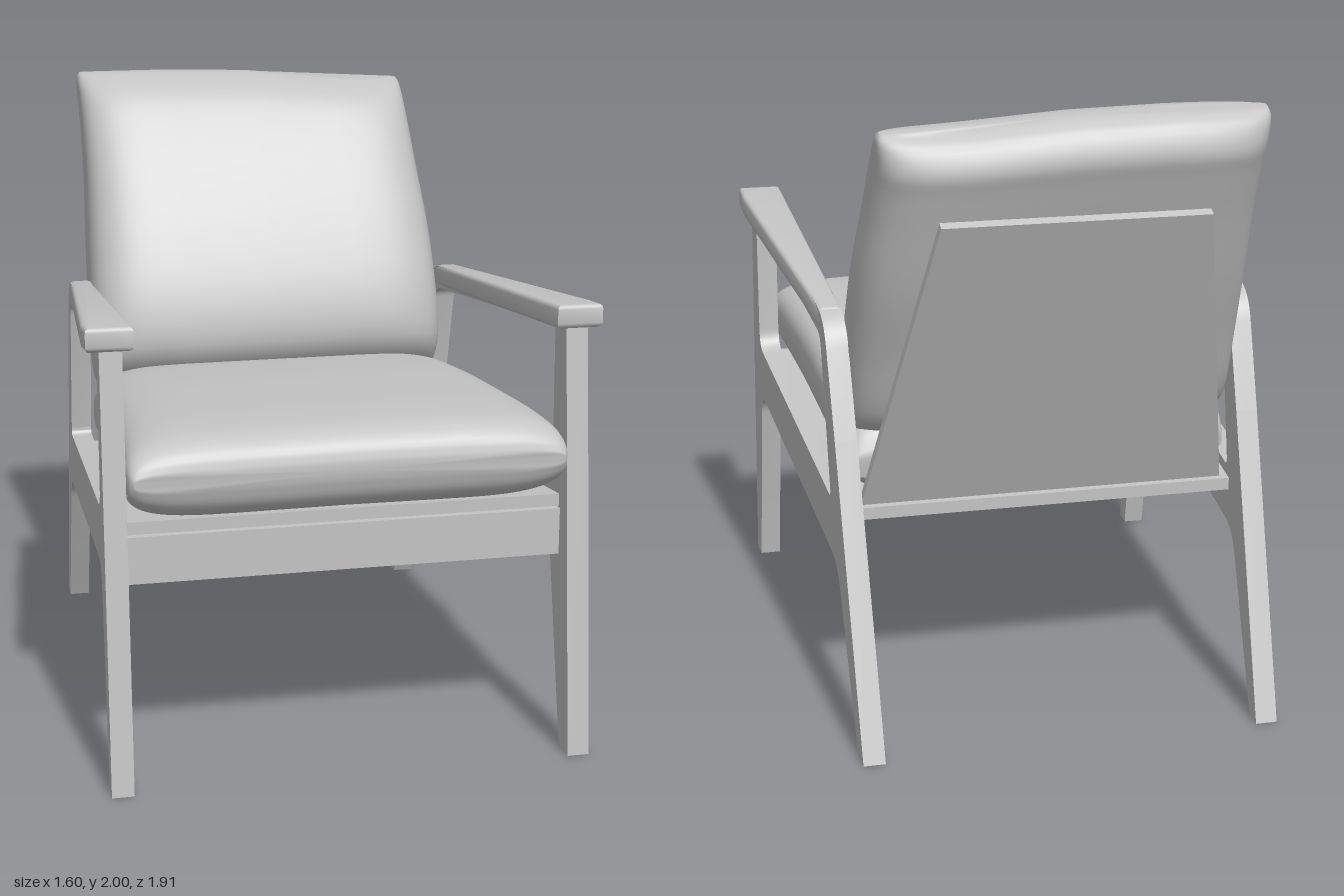
import * as THREE from 'three';
import { toCreasedNormals } from 'three/addons/utils/BufferGeometryUtils.js';

const grey = new THREE.MeshStandardMaterial({ color: 0xc4c4c4 });
grey.name = 'light grey';

function part(name, geometry) {
  const mesh = new THREE.Mesh(geometry, grey);
  mesh.name = name;
  return mesh;
}

// Move every vertex by a rule
function warp(geo, rule) {
  const p = geo.attributes.position;
  const v = new THREE.Vector3();
  for (let i = 0; i < p.count; i++) {
    rule(v.fromBufferAttribute(p, i));
    p.setXYZ(i, v.x, v.y, v.z);
  }
  geo.computeVertexNormals();
  return geo;
}

// Closed outline from [z, y, radius] points with rounded corners (drawn at -z)
function roundedOutline(path, pts) {
  const n = pts.length;
  const at = (i) => new THREE.Vector2(-pts[(i + n) % n][0], pts[(i + n) % n][1]);
  for (let i = 0; i < n; i++) {
    const c = at(i), r = pts[i][2] || 0;
    const a = c.clone().add(at(i - 1).sub(c).setLength(r));
    const b = c.clone().add(at(i + 1).sub(c).setLength(r));
    if (i === 0) path.moveTo(a.x, a.y); else path.lineTo(a.x, a.y);
    if (r) path.quadraticCurveTo(c.x, c.y, b.x, b.y);
  }
  path.closePath();
  return path;
}

const THICK = 0.07;
const innerX = (z) => 0.648 + 0.0485 * z; // frames splay apart toward the front

// Legs, lower rail and arm line in one cut-out board
function sideFrame(side) {
  const shape = roundedOutline(new THREE.Shape(), [
    [0.96, 0], [0.885, 0], [0.745, 0.685, 0.08], [-0.595, 0.543, 0.09], [-0.855, 0],
    [-0.93, 0], [-0.6, 0.95], [-0.465, 1.315, 0.1], [0.83, 1.43],
  ]);
  shape.holes.push(roundedOutline(new THREE.Path(), [
    [0.745, 1.36], [-0.405, 1.24, 0.04], [-0.515, 0.735, 0.03], [0.758, 0.865, 0.07],
  ]));
  const geo = new THREE.ExtrudeGeometry(shape, { depth: THICK, bevelEnabled: false, curveSegments: 8 });
  warp(geo, (v) => {
    const z = -v.x;
    const base = side > 0 ? innerX(z) : -innerX(z) - THICK;
    v.set(base + v.z, v.y, z);
  });
  return part('sideFrame', toCreasedNormals(geo, 0.6));
}

// Tapered arm pad that widens toward the front
function armrest(side) {
  const plan = [[0.655, 0.85], [0.8, 0.85], [0.8, 0.74], [0.698, -0.4], [0.627, -0.4]];
  const shape = new THREE.Shape(plan.map(([x, z]) => new THREE.Vector2(side * x, -z)));
  const geo = new THREE.ExtrudeGeometry(shape, {
    depth: 0.045, bevelThickness: 0.015, bevelSize: 0.015, bevelOffset: -0.015, bevelSegments: 3,
  });
  warp(geo, (v) => v.set(v.x, 1.303 + v.z + 0.098 * -v.y, -v.y));
  return part('armrest', toCreasedNormals(geo, 0.7));
}

// Pillow lofted from sections [faceZ, faceY, backZ, backY, halfWidth];
// smaller exponents make it boxier across the width and through the thickness
function cushion(name, sections, [widthExp, thickExp], rule) {
  const ROWS = 30, SIDES = 64;
  const face = new THREE.CatmullRomCurve3(sections.map((s) => new THREE.Vector3(s[4], s[1], s[0])));
  const back = new THREE.CatmullRomCurve3(sections.map((s) => new THREE.Vector3(s[4], s[3], s[2])));
  const power = (v, e) => Math.sign(v) * Math.abs(v) ** e;
  const pos = [], idx = [], ends = [];
  for (let i = 0; i <= ROWS; i++) {
    const f = face.getPoint(i / ROWS), b = back.getPoint(i / ROWS);
    const mid = f.clone().add(b).multiplyScalar(0.5), half = f.clone().sub(mid);
    if (i === 0 || i === ROWS) ends.push(0, mid.y, mid.z);
    for (let j = 0; j < SIDES; j++) {
      const a = (j / SIDES) * Math.PI * 2;
      const s = power(Math.sin(a), thickExp);
      pos.push(f.x * power(Math.cos(a), widthExp), mid.y + half.y * s, mid.z + half.z * s);
    }
  }
  const first = pos.length / 3, last = first + 1;
  pos.push(...ends);
  for (let j = 0; j < SIDES; j++) {
    const k = (j + 1) % SIDES;
    for (let i = 0; i < ROWS; i++) {
      const a = i * SIDES + j, c = i * SIDES + k;
      idx.push(a, a + SIDES, c, c, a + SIDES, c + SIDES);
    }
    idx.push(first, j, k, last, ROWS * SIDES + k, ROWS * SIDES + j);
  }
  const geo = new THREE.BufferGeometry();
  geo.setAttribute('position', new THREE.Float32BufferAttribute(pos, 3));
  geo.setIndex(idx);
  return part(name, warp(geo, rule));
}

export function createModel() {
  const chair = new THREE.Group();
  chair.name = 'armchair';

  for (const side of [1, -1]) chair.add(sideFrame(side), armrest(side));

  // Front rail between the legs
  const apron = part('frontRail', new THREE.BoxGeometry(1.38, 0.15, 0.06));
  apron.position.set(0, 0.712, 0.8);
  chair.add(apron);

  // Sloping seat board, narrower at the back
  const board = warp(new THREE.BoxGeometry(2, 0.04, 1.36), (v) => {
    const z = v.z + 0.14;
    v.set(v.x * (innerX(z) + 0.005), v.y + 0.732 + 0.098 * z, z);
  });
  chair.add(part('seatBoard', board));

  // Leaning back panel, narrower at the top
  const panel = part('backPanel', warp(new THREE.BoxGeometry(2, 1.09, 0.03), (v) => {
    v.x *= v.y > 0 ? 0.413 : 0.6;
  }));
  panel.position.set(0, 1.19, -0.705);
  panel.rotation.x = -0.395;
  chair.add(panel);

  // Seat cushion, front to back, with a slight dip in the middle of the front
  chair.add(cushion('seatCushion', [
    [0.908, 1.0, 0.905, 0.95, 0.67],
    [0.89, 1.05, 0.88, 0.89, 0.685],
    [0.83, 1.092, 0.83, 0.845, 0.69],
    [0.7, 1.108, 0.7, 0.825, 0.682],
    [0.35, 1.1, 0.35, 0.79, 0.66],
    [0, 1.075, 0, 0.755, 0.645],
    [-0.3, 1.03, -0.3, 0.725, 0.63],
    [-0.45, 0.95, -0.44, 0.72, 0.62],
    [-0.495, 0.86, -0.485, 0.77, 0.61],
  ], [0.3, 0.58], (v) => { v.z -= 0.008 * Math.max(0, v.z) * Math.cos(v.x * 5); }));

  // Back cushion, bottom to top, resting on the panel, one upper corner slumped
  chair.add(cushion('backCushion', [
    [-0.37, 0.94, -0.47, 0.93, 0.6],
    [-0.29, 1.0, -0.54, 0.945, 0.615],
    [-0.225, 1.1, -0.6, 1.0, 0.625],
    [-0.24, 1.25, -0.685, 1.2, 0.625],
    [-0.32, 1.45, -0.78, 1.42, 0.617],
    [-0.43, 1.65, -0.87, 1.65, 0.607],
    [-0.54, 1.82, -0.93, 1.8, 0.605],
    [-0.64, 1.94, -0.955, 1.87, 0.605],
    [-0.76, 1.995, -0.93, 1.95, 0.605],
    [-0.82, 2.0, -0.88, 1.99, 0.595],
  ], [0.3, 0.66], (v) => {
    const slump = THREE.MathUtils.smoothstep(v.x, -0.2, 0.5) * THREE.MathUtils.smoothstep(v.y, 1.4, 2);
    v.y -= 0.04 * slump;
    v.z += 0.035 * slump;
    if (v.x > 0) v.x *= 1 - 0.04 * slump;
  }));

  return chair;
}
